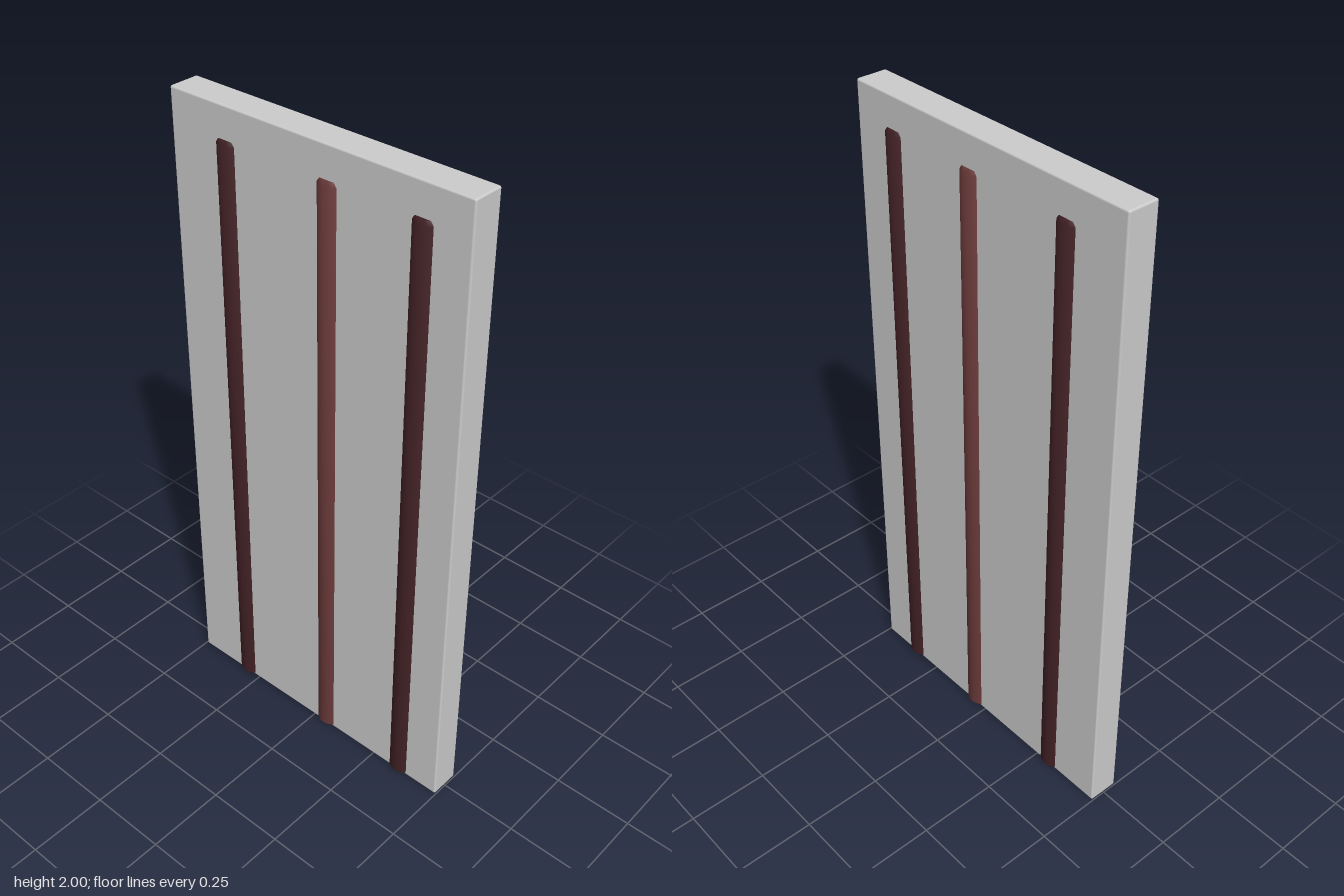
import * as THREE from 'three';
import { RoundedBoxGeometry } from 'three/addons/geometries/RoundedBoxGeometry.js';
import { toCreasedNormals } from 'three/addons/utils/BufferGeometryUtils.js';

const HEIGHT = 2, WIDTH = 0.995, DEPTH = 0.097;

// Upright bar with softened ends, oval in section so it bulges from both faces
function createBar(name, x, color) {
  const bottom = 0.001, top = 1.905, bevel = 0.1;
  const profile = [
    [0, bottom], [1 - bevel, bottom], [1, bottom + 0.008],
    [1, top - 0.012], [1 - bevel, top], [0, top],
  ].map(([r, y]) => new THREE.Vector2(r, y));
  const geometry = new THREE.LatheGeometry(profile, 32);
  geometry.scale(0.052, 1, 0.0625);
  const bar = new THREE.Mesh(
    toCreasedNormals(geometry, 0.6),
    new THREE.MeshStandardMaterial({ color })
  );
  bar.name = name;
  bar.position.x = x;
  return bar;
}

export function createModel() {
  const model = new THREE.Group();
  model.name = 'barredPanel';

  // Flat slab with slightly eased edges
  const panel = new THREE.Mesh(
    new RoundedBoxGeometry(WIDTH, HEIGHT, DEPTH, 2, 0.006),
    new THREE.MeshStandardMaterial({ color: 0xcccccc })
  );
  panel.name = 'panel';
  panel.position.y = HEIGHT / 2;
  model.add(panel);

  // Unevenly spaced bars, the middle one lighter
  model.add(
    createBar('rightBar', -0.3, 0x402024),
    createBar('middleBar', 0.05, 0x683838),
    createBar('leftBar', 0.35, 0x402024)
  );
  return model;
}
